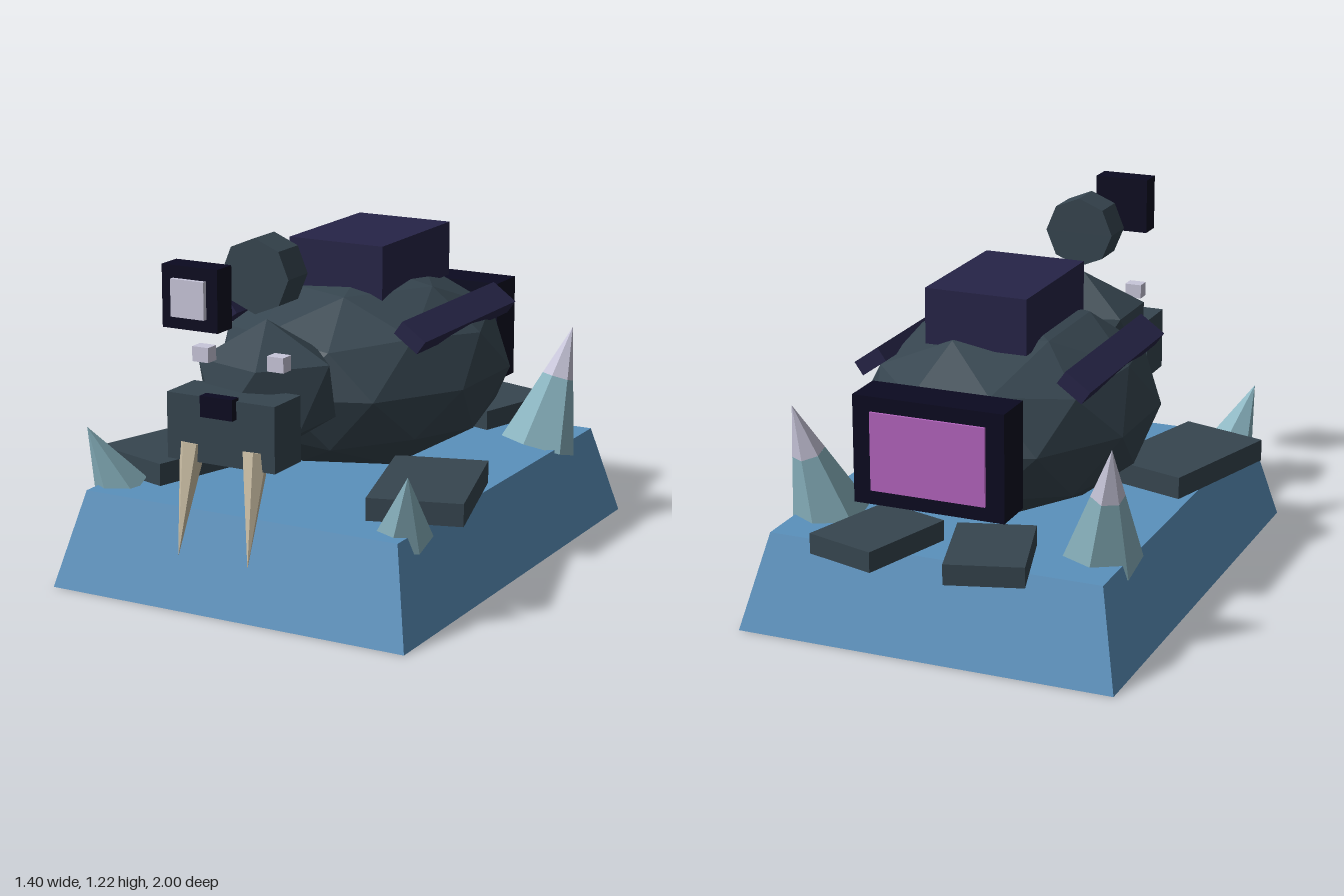
import * as THREE from 'three';

export function createModel() {
  const model = new THREE.Group();
  const paint = (name, color) => {
    const m = new THREE.MeshStandardMaterial({ color, flatShading: true });
    m.name = name;
    return m;
  };
  const slate = paint('slate hide', 0x36454f);
  const ice = paint('ice blue', 0x5a91bd);
  const navy = paint('navy gear', 0x262447);
  const black = paint('dark casing', 0x0b0a20);
  const pale = paint('pale lavender', 0xc8c6da);
  const teal = paint('frost teal', 0x88b2be);
  const ivory = paint('ivory', 0xcdc0a6);
  const violet = paint('violet screen', 0xb464be);

  const add = (name, geometry, material, x = 0, y = 0, z = 0) => {
    const mesh = new THREE.Mesh(geometry, material);
    mesh.name = name;
    mesh.position.set(x, y, z);
    model.add(mesh);
    return mesh;
  };
  const box = (name, material, size, pos) => add(name, new THREE.BoxGeometry(...size), material, ...pos);

  // Faceted ball with one corner pointing straight up
  const ball = (name, material, detail, radii, pos) => {
    const g = new THREE.IcosahedronGeometry(1, detail);
    g.rotateZ(-Math.atan2(2, 1 + Math.sqrt(5)));
    g.scale(...radii);
    return add(name, g, material, ...pos);
  };

  // Tapered piece running from one point to another
  const taper = (name, material, from, to, r0, r1, sides) => {
    const a = new THREE.Vector3(...from);
    const dir = new THREE.Vector3(...to).sub(a);
    const g = new THREE.CylinderGeometry(r1, r0, dir.length(), sides);
    const mid = a.clone().addScaledVector(dir, 0.5);
    const mesh = add(name, g, material, mid.x, mid.y, mid.z);
    mesh.quaternion.setFromUnitVectors(new THREE.Vector3(0, 1, 0), dir.normalize());
    return mesh;
  };

  // Ice block, narrower at the top
  const block = new THREE.BoxGeometry(1.33, 0.325, 1.72);
  const p = block.attributes.position;
  for (let i = 0; i < p.count; i++) {
    if (p.getY(i) > 0) {
      p.setX(i, p.getX(i) * 0.885);
      p.setZ(i, p.getZ(i) * 0.885);
    }
  }
  block.computeVertexNormals();
  add('iceBlock', block, ice, 0, 0.1625, -0.04);

  // Body, head and face
  ball('body', slate, 1, [0.5, 0.35, 0.6], [0, 0.65, -0.15]);
  ball('head', slate, 0, [0.26, 0.23, 0.23], [0, 0.71, 0.52]);
  box('muzzle', slate, [0.4, 0.22, 0.165], [0, 0.63, 0.7325]);
  box('nose', black, [0.12, 0.07, 0.04], [0, 0.715, 0.82]);

  // Gear on the back
  box('backPack', navy, [0.36, 0.19, 0.505], [0, 1.02, -0.1925]);
  box('rearCasing', black, [0.526, 0.365, 0.15], [0, 0.6725, -0.748]);
  box('rearScreen', violet, [0.4, 0.265, 0.009], [0, 0.6725, -0.828]);

  // Floating disc and camera
  const disc = new THREE.CylinderGeometry(0.125, 0.125, 0.124, 8);
  disc.rotateX(Math.PI / 2);
  add('floatingDisc', disc, slate, 0, 1.096, 0.532);
  box('camera', black, [0.2, 0.2, 0.084], [0, 1.1, 0.942]);
  box('cameraLens', pale, [0.12, 0.12, 0.016], [0, 1.1, 0.992]);

  // Mirrored parts
  for (const s of [1, -1]) {
    const side = s > 0 ? 'left' : 'right';
    box(side + 'Eye', pale, [0.06, 0.05, 0.05], [s * 0.14, 0.845, 0.682]);
    taper(side + 'Tusk', ivory, [s * 0.118, 0.575, 0.79], [s * 0.13, 0.21, 0.873], 0.046, 0, 6);

    box(side + 'Rail', navy, [0.105, 0.053, 0.7], [s * 0.362, 0.853, -0.14]).rotation.z = -s * 0.62;

    box(side + 'FrontFlipper', slate, [0.32, 0.077, 0.5], [s * 0.475, 0.3665, 0.285]).rotation.y = s * 0.29;
    box(side + 'RearFlipper', slate, [0.26, 0.07, 0.36], [s * 0.2, 0.365, -0.79]).rotation.y = -s * 0.29;

    // Ice crystals, the tall rear ones with a pale tip
    taper(side + 'FrontCrystal', teal, [s * 0.54, 0.305, 0.585], [s * 0.605, 0.535, 0.685], 0.095, 0, 6);
    taper(side + 'RearCrystal', teal, [s * 0.49, 0.31, -0.55], [s * 0.533, 0.555, -0.62], 0.135, 0.057, 6);
    taper(side + 'RearCrystalTip', pale, [s * 0.533, 0.555, -0.62], [s * 0.564, 0.73, -0.67], 0.057, 0, 6);
  }
  return model;
}
